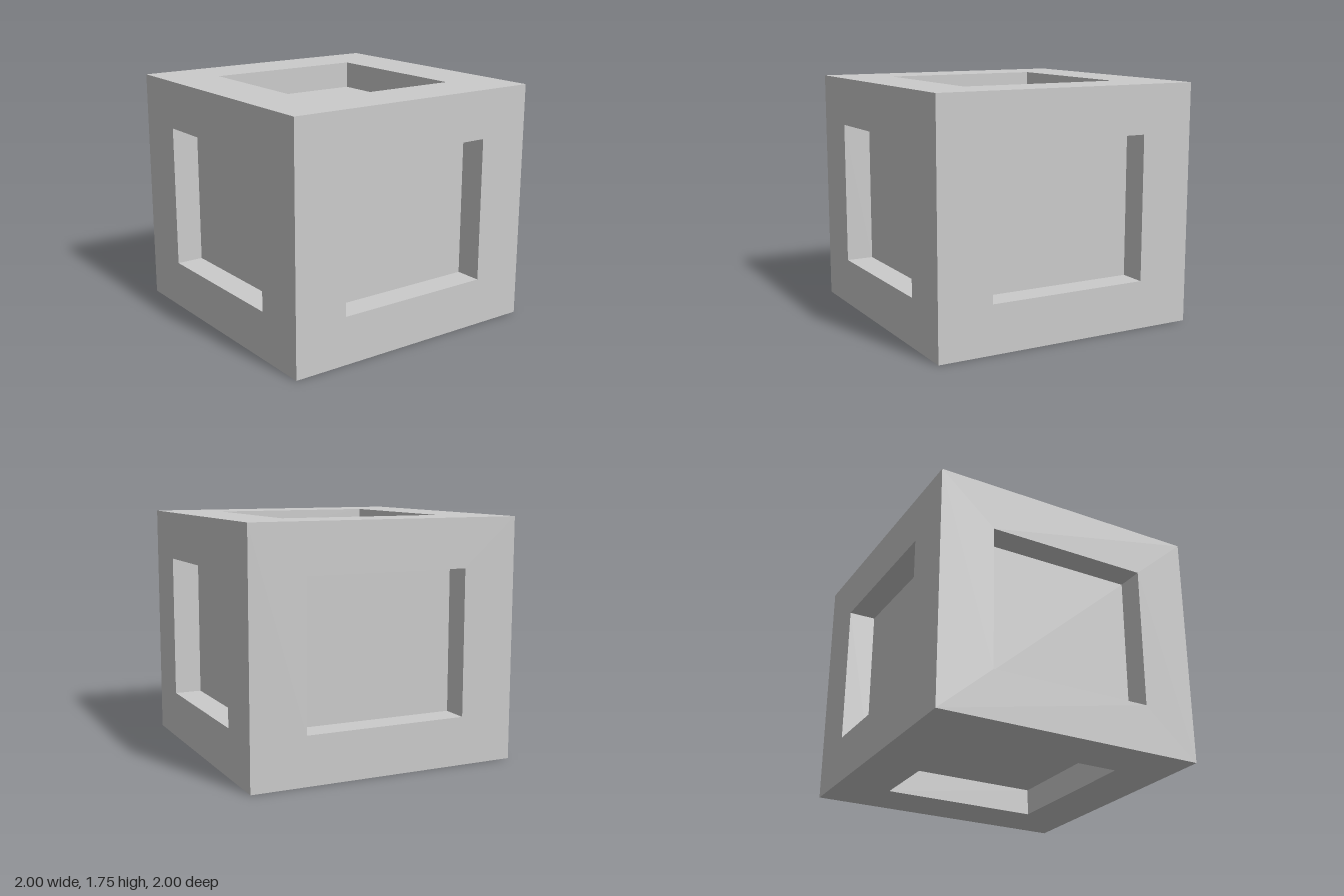
import * as THREE from 'three';

const WIDTH = 2, HEIGHT = 1.75, DEPTH = 2;
const INSET = 0.6;   // recess size relative to its face
const RECESS = 0.2;  // recess depth

// One face of the block, facing +z: flat frame, recess walls and recess floor
function panelGeometry(w, h) {
  const ring = (scale, z) => [[-1, -1], [1, -1], [1, 1], [-1, 1]]
    .map(([x, y]) => [x * scale * w / 2, y * scale * h / 2, z]);
  const rings = [ring(1, 0), ring(INSET, 0), ring(INSET, -RECESS)];
  const points = [];
  const quad = (a, b, c, d) => points.push(...a, ...b, ...c, ...a, ...c, ...d);

  for (let r = 0; r < 2; r++) {
    for (let i = 0; i < 4; i++) {
      const j = (i + 1) % 4;
      quad(rings[r][i], rings[r][j], rings[r + 1][j], rings[r + 1][i]);
    }
  }
  quad(...rings[2]);

  const geometry = new THREE.BufferGeometry();
  geometry.setAttribute('position', new THREE.Float32BufferAttribute(points, 3));
  geometry.computeVertexNormals();
  return geometry;
}

export function createModel() {
  const model = new THREE.Group();
  model.name = 'recessedBlock';
  const material = new THREE.MeshStandardMaterial({ color: 0xcccccc, flatShading: true });

  const addPanel = (name, geometry, rx, ry, x, y, z) => {
    const panel = new THREE.Mesh(geometry, material);
    panel.name = name;
    panel.rotation.set(rx, ry, 0);
    panel.position.set(x, y, z);
    model.add(panel);
  };

  // Four upright sides
  const side = panelGeometry(WIDTH, HEIGHT);
  ['frontPanel', 'leftPanel', 'backPanel', 'rightPanel'].forEach((name, i) => {
    const angle = i * Math.PI / 2;
    addPanel(name, side, 0, angle,
      Math.sin(angle) * WIDTH / 2, HEIGHT / 2, Math.cos(angle) * DEPTH / 2);
  });

  // Top and bottom
  const cap = panelGeometry(WIDTH, DEPTH);
  addPanel('topPanel', cap, -Math.PI / 2, 0, 0, HEIGHT, 0);
  addPanel('bottomPanel', cap, Math.PI / 2, 0, 0, 0, 0);

  return model;
}
